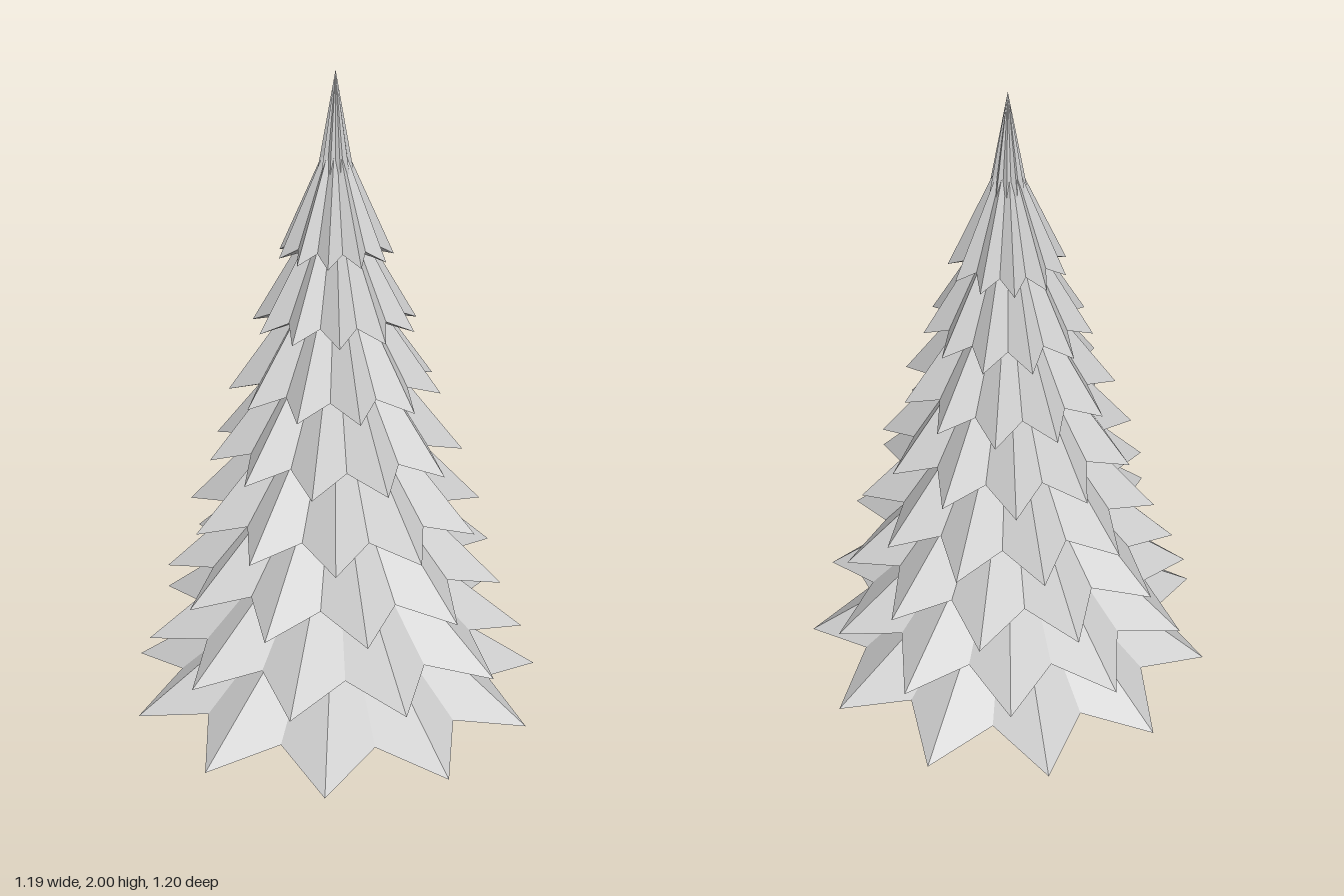
import * as THREE from 'three';

const POINTS = 11;

// Star-shaped skirt of branches: drooping tips, raised valleys, closed underneath
function starTier(radius, tipY, valleyY, apexY, turn) {
  const ring = [];
  for (let i = 0; i < POINTS * 2; i++) {
    const a = turn + (i * Math.PI) / POINTS;
    const tip = i % 2 === 0;
    const r = tip ? radius : radius * 0.75;
    ring.push([r * Math.cos(a), tip ? tipY : valleyY, r * Math.sin(a)]);
  }
  const pos = [];
  ring.forEach((p, i) => {
    const q = ring[(i + 1) % ring.length];
    pos.push(0, apexY, 0, ...q, ...p);
    pos.push(0, valleyY, 0, ...p, ...q);
  });
  const geo = new THREE.BufferGeometry();
  geo.setAttribute('position', new THREE.Float32BufferAttribute(pos, 3));
  geo.computeVertexNormals();
  return geo;
}

export function createModel() {
  const group = new THREE.Group();
  const grey = new THREE.MeshStandardMaterial({ color: 0xcccccc });
  grey.name = 'paleGrey';

  const add = (name, geo, x = 0, y = 0, z = 0) => {
    const mesh = new THREE.Mesh(geo, grey);
    mesh.name = name;
    mesh.position.set(x, y, z);
    group.add(mesh);
    return mesh;
  };
  const cx = 0.006, cz = 0.01;

  // Branch tiers: radius, tip height, valley height, apex height
  const tiers = [
    [0.605, 0.22, 0.265, 0.64],
    [0.545, 0.41, 0.455, 0.84],
    [0.482, 0.595, 0.64, 1.04],
    [0.42, 0.775, 0.815, 1.22],
    [0.355, 0.96, 1.0, 1.4],
    [0.292, 1.145, 1.18, 1.55],
    [0.225, 1.33, 1.365, 1.71],
    [0.155, 1.52, 1.55, 1.86],
    [0.05, 1.73, 1.755, 2.0],
  ];
  tiers.forEach(([r, tip, valley, apex], i) => {
    const turn = THREE.MathUtils.degToRad(17 + i * 10);
    add('branchTier' + (i + 1), starTier(r, tip, valley, apex, turn), cx, 0, cz);
  });

  // Trunk with two small pegs hanging beside it
  add('trunk', new THREE.CylinderGeometry(0.034, 0.038, 0.2, 24), cx, 0.18, cz + 0.005);
  for (const s of [-1, 1]) {
    add('sidePeg', new THREE.CapsuleGeometry(0.014, 0.07, 6, 14), cx + s * 0.063, 0.225, cz + 0.01);
  }

  // Ribbed foot lying along x
  const profile = [new THREE.Vector2(0, -0.168)];
  const steps = 48;
  for (let i = 0; i <= steps; i++) {
    const t = i / steps;
    const u = t * 2 - 1;
    const r = 0.036 + 0.02 * (1 - u * u) + 0.004 * Math.abs(Math.sin(t * Math.PI * 8));
    profile.push(new THREE.Vector2(r, -0.165 + t * 0.345));
  }
  profile.push(new THREE.Vector2(0, 0.183));
  const foot = add('foot', new THREE.LatheGeometry(profile, 28), 0, 0.063, cz + 0.005);
  foot.rotation.z = -Math.PI / 2;

  // Knob on the end of the foot
  add('footKnob', new THREE.SphereGeometry(0.03, 20, 14), 0.187, 0.08, cz + 0.005);

  return group;
}
